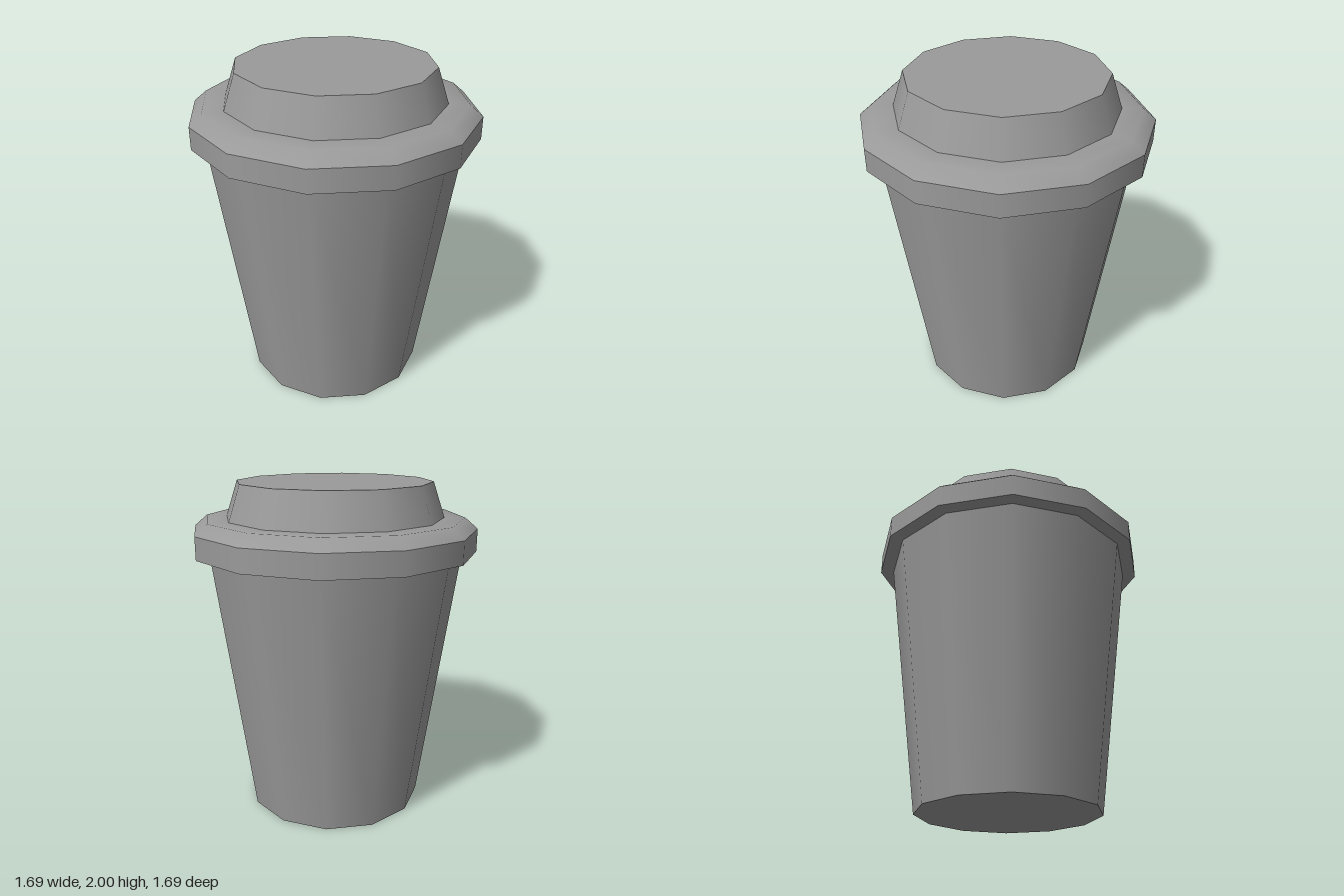
import * as THREE from 'three';

const SIDES = 12;
const material = new THREE.MeshStandardMaterial({ color: 0x9a9a9a });

// One named part made of turned bands; edges are sharp between bands and smooth within them
function turned(name, bands) {
  const part = new THREE.Group();
  part.name = name;
  for (const [bandName, ...points] of bands) {
    const profile = points.map(([r, y]) => new THREE.Vector2(r, y));
    const geometry = new THREE.LatheGeometry(profile, SIDES);
    geometry.normalizeNormals(); // even shading across short bands
    const mesh = new THREE.Mesh(geometry, material);
    mesh.name = bandName;
    part.add(mesh);
  }
  return part;
}

export function createModel() {
  const model = new THREE.Group();
  model.name = 'lidded cup';

  // Tapered cup with a flat base
  model.add(turned('cup', [
    ['cupBase', [0, 0], [0.542, 0]],
    ['cupWall', [0.542, 0], [0.763, 1.596]],
  ]));

  // Overhanging lid rim with a softly shaded chamfer running into its flat top
  model.add(turned('lidRim', [
    ['rimUnderside', [0.763, 1.596], [0.845, 1.596]],
    ['rimSide', [0.845, 1.596], [0.845, 1.73]],
    ['rimTop', [0.845, 1.73], [0.77, 1.794], [0.648, 1.794]],
  ]));

  // Raised, tapered lid top
  model.add(turned('lidTop', [
    ['lidWall', [0.648, 1.794], [0.578, 2]],
    ['lidDisc', [0.578, 2], [0, 2]],
  ]));

  return model;
}
